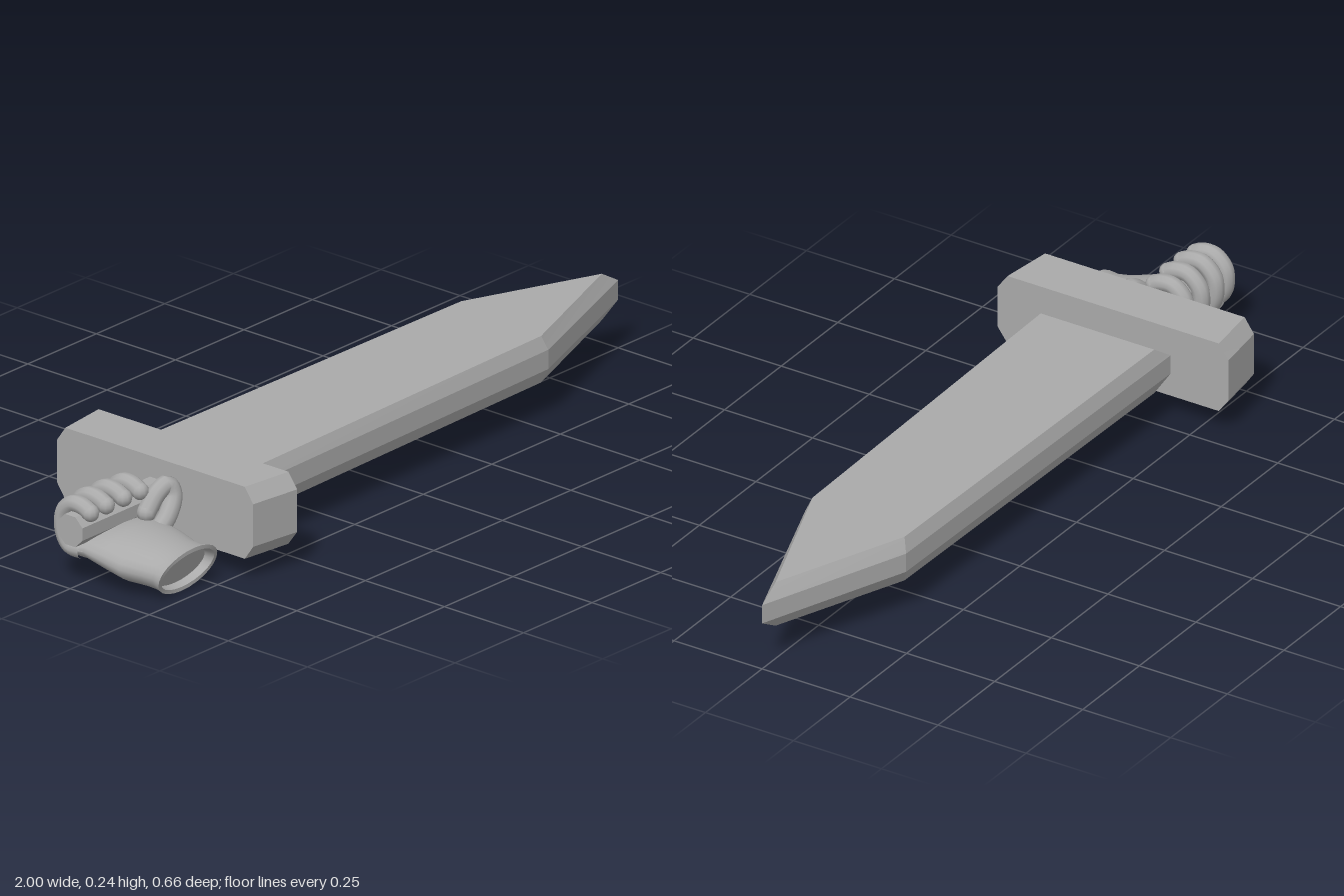
import * as THREE from 'three';
import { toCreasedNormals } from 'three/addons/utils/BufferGeometryUtils.js';

// Skin closed rings of equal point count, listed counter-clockwise about the loft direction
function loft(rings, crease) {
  const n = rings[0].length, last = (rings.length - 1) * n, index = [];
  for (let i = 0; i < rings.length - 1; i++) {
    for (let j = 0; j < n; j++) {
      const a = i * n + j, b = i * n + (j + 1) % n;
      index.push(a, b, b + n, a, b + n, a + n);
    }
  }
  for (let j = 1; j < n - 1; j++) {
    index.push(0, j + 1, j, last, last + j, last + j + 1);
  }
  const geo = new THREE.BufferGeometry();
  geo.setAttribute('position', new THREE.Float32BufferAttribute(rings.flat(2), 3));
  geo.setIndex(index);
  return toCreasedNormals(geo, crease);
}

export function createModel() {
  const model = new THREE.Group();
  model.name = 'swordInHand';
  const grey = new THREE.MeshStandardMaterial({ color: 0xaaaaaa });
  grey.name = 'grey';

  const add = (name, geo, parent = model) => {
    const mesh = new THREE.Mesh(geo, grey);
    mesh.name = name;
    parent.add(mesh);
    return mesh;
  };

  // Blade: outline at mid height, inset outline on the flat faces
  const outer = [[-0.54, 0.183], [0.56, 0.16], [1, 0], [0.605, -0.155], [-0.54, -0.17]];
  const inner = [[-0.49, 0.167], [0.55, 0.146], [0.94, 0], [0.59, -0.141], [-0.49, -0.155]];
  const level = (outline, y) => outline.map(([x, z]) => [x, y, z]);
  add('blade', loft([
    level(inner, 0.09), level(outer, 0.125), level(outer, 0.175), level(inner, 0.21),
  ], 0.1));

  // Guard: chamfered bar, slightly longer on the blade side
  const section = [[0.093, 0.3], [0.055, 0.328], [-0.055, 0.328], [-0.093, 0.3],
    [-0.093, -0.3], [-0.055, -0.328], [0.055, -0.328], [0.093, -0.3]];
  const guardRing = (x, s) => section.map(([y, z]) => [x, 0.15 + y, z * s]);
  add('guard', loft([guardRing(-0.69, 0.945), guardRing(-0.55, 1)], 0.1));

  // Octagonal grip
  const gripGeo = new THREE.CylinderGeometry(0.042, 0.042, 0.32, 8);
  gripGeo.rotateY(Math.PI / 8).rotateZ(Math.PI / 2);
  add('grip', toCreasedNormals(gripGeo, 0.3)).position.set(-0.84, 0.15, 0);

  const hand = new THREE.Group();
  hand.name = 'hand';
  model.add(hand);

  // Palm and wrist: z, centre x, centre y, half width, half height, tilt
  const palm = [
    [-0.055, -0.86, 0.085, 0.095, 0.012, 0],
    [-0.035, -0.86, 0.085, 0.115, 0.028, 0],
    [0.02, -0.85, 0.092, 0.125, 0.042, 0],
    [0.08, -0.85, 0.085, 0.127, 0.052, 0],
    [0.13, -0.85, 0.075, 0.123, 0.056, 0],
    [0.18, -0.843, 0.066, 0.106, 0.053, 0.008],
    [0.21, -0.838, 0.062, 0.102, 0.055, 0.015],
    [0.23, -0.836, 0.061, 0.105, 0.061, 0.02],
    [0.23, -0.836, 0.061, 0.094, 0.051, 0.02],
    [0.205, -0.836, 0.061, 0.088, 0.046, 0.017],
  ];
  add('palm', loft(palm.map(([z, cx, cy, rx, ry, tilt]) =>
    Array.from({ length: 24 }, (_, j) => {
      const a = j / 24 * Math.PI * 2;
      return [cx + rx * Math.cos(a), cy + ry * Math.sin(a), z + tilt * Math.sin(a)];
    })), 0.8), hand);

  // Rounded tube through a few points, with a ball at the tip
  function digit(name, points, radius) {
    const curve = new THREE.CatmullRomCurve3(points.map((p) => new THREE.Vector3(...p)));
    const group = new THREE.Group();
    group.name = name;
    add(name + 'Tube', new THREE.TubeGeometry(curve, 28, radius, 10, false), group);
    add(name + 'Tip', new THREE.SphereGeometry(radius, 10, 8), group)
      .position.set(...points[points.length - 1]);
    hand.add(group);
  }

  // Four fingers hooked under, behind and over the grip
  [[-0.962, 0.92], [-0.908, 1], [-0.845, 1], [-0.782, 0.94]].forEach(([x, s], i) => {
    const hook = [[0.085, 0.01], [0.088, -0.035], [0.125, -0.058], [0.175, -0.057],
      [0.207, -0.025], [0.207, 0.01], [0.196, 0.034]];
    digit('finger' + (i + 1),
      hook.map(([y, z]) => [x, 0.15 + (y - 0.15) * s, z * s]), 0.022);
  });

  // Thumb curling up beside the grip, next to the guard
  digit('thumb', [[-0.79, 0.09, 0.08], [-0.745, 0.13, 0.085], [-0.713, 0.175, 0.075],
    [-0.72, 0.2, 0.065], [-0.75, 0.185, 0.058], [-0.785, 0.145, 0.055]], 0.024);

  return model;
}
